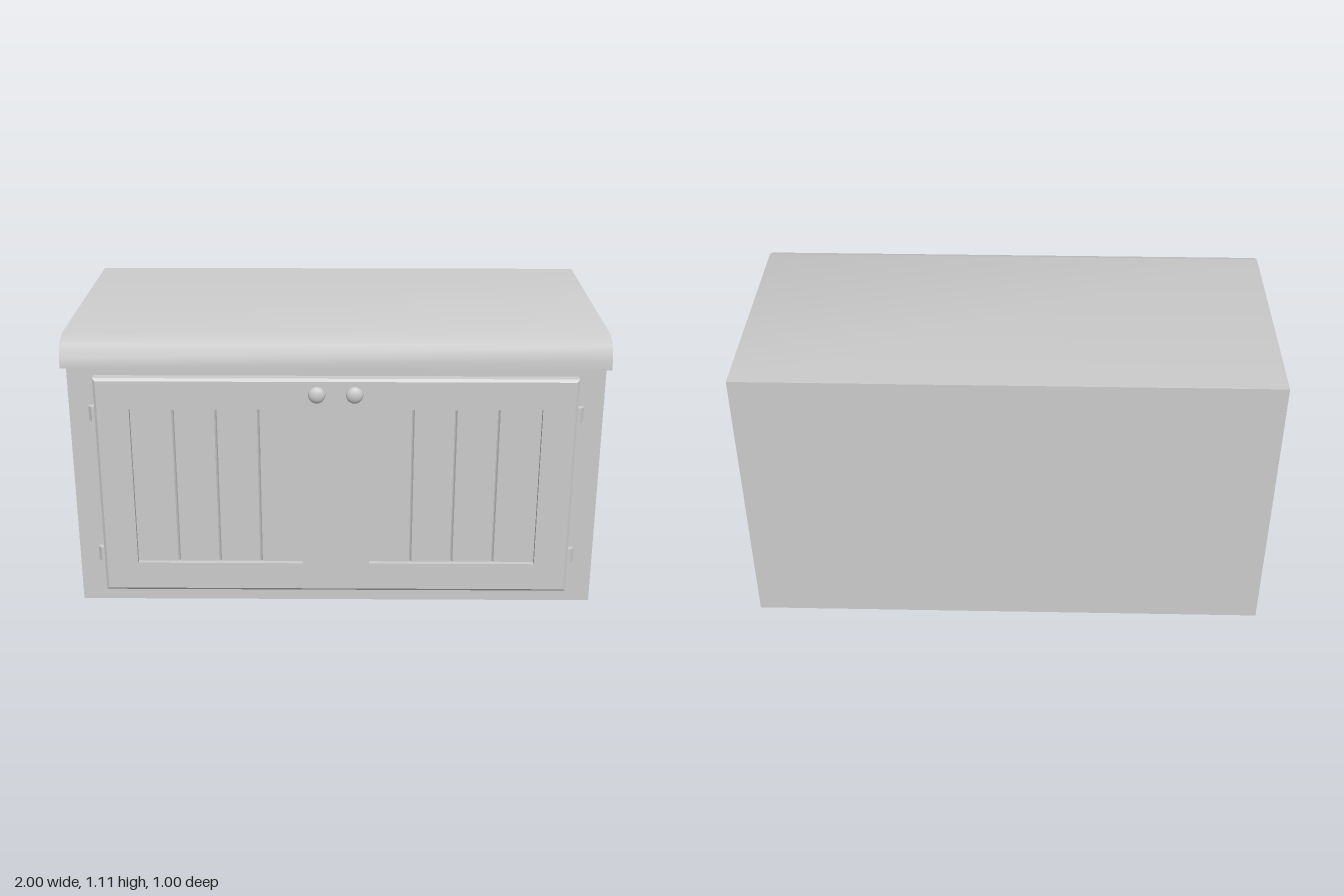
import * as THREE from 'three';
import { toCreasedNormals } from 'three/addons/utils/BufferGeometryUtils.js';

const grey = new THREE.MeshStandardMaterial({ color: 0xcccccc });
const points = (list) => list.map(([x, y]) => new THREE.Vector2(x, y));
const rectangle = (x0, x1, y0, y1) => points([[x0, y0], [x1, y0], [x1, y1], [x0, y1]]);
const extrude = (shape, depth, steps = 1) =>
  new THREE.ExtrudeGeometry(shape, { depth, steps, bevelEnabled: false });

// Horizontal outline (x, z) raised upwards from y0 to y1
function prism(outline, y0, y1) {
  const shape = new THREE.Shape(points(outline.map(([x, z]) => [x, -z])));
  return extrude(shape, y1 - y0).rotateX(-Math.PI / 2).translate(0, y0, 0);
}

export function createModel() {
  const model = new THREE.Group();
  model.name = 'cabinet';
  const add = (name, geometry) => {
    const mesh = new THREE.Mesh(geometry, grey);
    mesh.name = name;
    model.add(mesh);
    return mesh;
  };

  // Body and overhanging countertop: one side profile (z, y) swept along x
  const profile = new THREE.Shape(points([
    [-0.5, 0], [0.4, 0], [0.4, 1], [0.5, 1], [0.5, 1.04], [0.477, 1.09], [0.425, 1.11], [-0.5, 1.11],
  ]));
  const body = extrude(profile, 2).rotateY(-Math.PI / 2).translate(1, 0, 0);
  add('bodyAndCountertop', toCreasedNormals(body, 0.6));

  // Door frame with two openings; the outer front edge is chamfered
  const frame = new THREE.Shape(rectangle(-0.9, 0.9, 0.06, 0.94));
  for (const x0 of [-0.77, 0.13]) {
    frame.holes.push(new THREE.Path(rectangle(x0, x0 + 0.64, 0.18, 0.82)));
  }
  const door = extrude(frame, 0.04, 5);
  const p = door.attributes.position;
  for (let i = 0; i < p.count; i++) {
    if (p.getZ(i) < 0.039) continue;
    if (Math.abs(p.getX(i)) > 0.89) p.setX(i, Math.sign(p.getX(i)) * 0.89);
    if (p.getY(i) < 0.07) p.setY(i, 0.07);
    if (p.getY(i) > 0.93) p.setY(i, 0.93);
  }
  door.translate(0, 0, 0.4);
  door.computeVertexNormals();
  add('doorFrame', door);

  for (const side of [-1, 1]) {
    const label = side > 0 ? 'left' : 'right';

    // Recessed plank panel with V grooves
    const outline = [[-0.32, 0.4], [-0.32, 0.42]];
    for (const x of [-0.16, 0, 0.16]) {
      outline.push([x - 0.005, 0.42], [x, 0.412], [x + 0.005, 0.42]);
    }
    outline.push([0.32, 0.42], [0.32, 0.4]);
    add(label + 'PlankPanel', prism(outline, 0.18, 0.82)).position.x = side * 0.45;

    // Flattened round knob
    const knob = add(label + 'Knob', new THREE.SphereGeometry(0.032, 24, 16));
    knob.scale.z = 0.58;
    knob.position.set(side * 0.07, 0.883, 0.453);

    // Hinges with a chamfered outer corner
    for (const y of [0.18, 0.765]) {
      const hinge = [[0.89, 0.4], [0.925, 0.4], [0.925, 0.412], [0.912, 0.425], [0.89, 0.425]];
      add(label + (y < 0.5 ? 'LowerHinge' : 'UpperHinge'),
        prism(hinge.map(([x, z]) => [side * x, z]), y, y + 0.058));
    }
  }
  return model;
}
